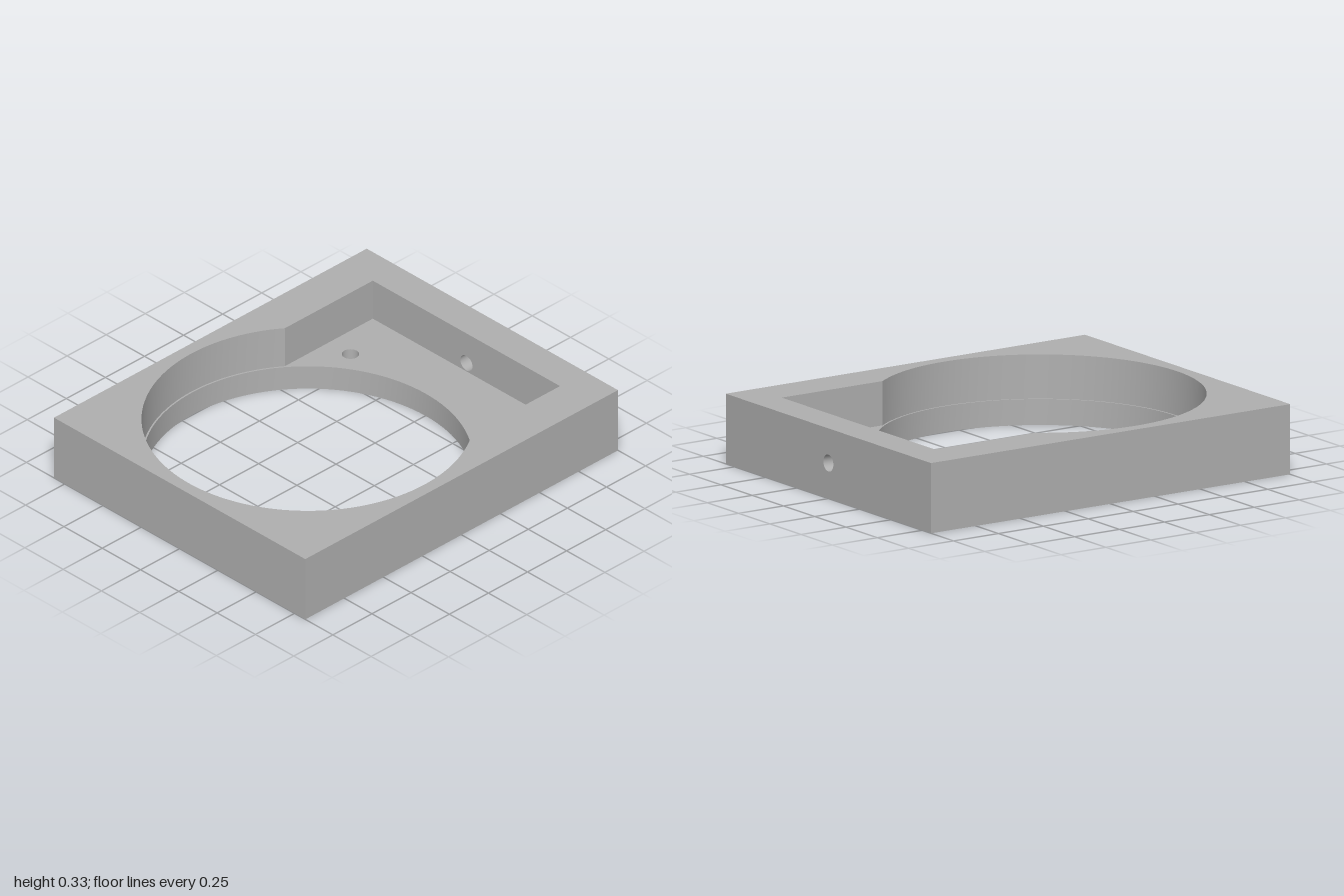
import * as THREE from 'three';
import { toCreasedNormals } from 'three/addons/utils/BufferGeometryUtils.js';

const W = 1, D = 0.82, H = 0.33;          // half width, half depth, height
const FLOOR = 0.122;                      // pocket floor height
const CX = -0.18, R_LOW = 0.752, R_UP = 0.76;
const PX = 0.834, PZ = 0.611;             // pocket end and half width
const HOLE_R = 0.04, HOLE_Y = 0.167;

const v = (x, y) => new THREE.Vector2(x, y);

// Counter-clockwise arc points; a full turn leaves out the repeated end point
function arc(cx, cy, r, n, a0 = 0, a1 = Math.PI * 2) {
  const full = a1 - a0 > 6.28;
  return Array.from({ length: full ? n : n + 1 }, (_, i) => {
    const a = a0 + (a1 - a0) * i / n;
    return v(cx + r * Math.cos(a), cy + r * Math.sin(a));
  });
}

const rect = (x0, y0, x1, y1) => [v(x0, y0), v(x1, y0), v(x1, y1), v(x0, y1)];

// Flat face with holes, facing +z
function plate(outline, holes = []) {
  const shape = new THREE.Shape(outline);
  holes.forEach(h => shape.holes.push(new THREE.Path(h)));
  return new THREE.ShapeGeometry(shape);
}

// Wall standing on a path from z0 to z1; it faces right of the path direction
function wall(path, z0, z1, closed) {
  const pos = [];
  const count = closed ? path.length : path.length - 1;
  for (let i = 0; i < count; i++) {
    const a = path[i], b = path[(i + 1) % path.length];
    pos.push(a.x, a.y, z0, b.x, b.y, z0, b.x, b.y, z1);
    pos.push(a.x, a.y, z0, b.x, b.y, z1, a.x, a.y, z1);
  }
  const g = new THREE.BufferGeometry();
  g.setAttribute('position', new THREE.Float32BufferAttribute(pos, 3));
  return toCreasedNormals(g, 0.5);
}

const reversed = path => [...path].reverse();

export function createModel() {
  const group = new THREE.Group();
  const grey = new THREE.MeshStandardMaterial({ color: 0xb0b0b0 });
  grey.name = 'grey';

  const add = (name, geometry) => {
    const mesh = new THREE.Mesh(geometry, grey);
    mesh.name = name;
    group.add(mesh);
  };
  const upright = g => g.rotateX(-Math.PI / 2);

  const bore = arc(CX, 0, R_LOW, 120);
  const bolts = [1, -1].map(s => arc(0.556, s * 0.473, HOLE_R, 24));
  const a0 = Math.asin(PZ / R_UP);
  const pocket = [v(PX, PZ), ...arc(CX, 0, R_UP, 96, a0, Math.PI * 2 - a0), v(PX, -PZ)];
  const outer = rect(-W, -D, W, D);

  // Horizontal faces
  add('topFace', upright(plate(outer, [pocket])).translate(0, H, 0));
  add('pocketFloor', upright(plate(pocket, [bore, ...bolts])).translate(0, FLOOR, 0));
  add('bottomFace', plate(outer, [bore, ...bolts]).rotateX(Math.PI / 2));

  // Upright faces of the block, the pocket and the through holes
  add('outerWalls', upright(wall([v(W, D), v(-W, D), v(-W, -D), v(W, -D)], 0, H, false)));
  add('pocketWalls', upright(wall(reversed(pocket), FLOOR, H, false)));
  add('boreWall', upright(wall(reversed(bore), 0, FLOOR, true)));
  bolts.forEach((b, i) => add('boltHole' + (i + 1), upright(wall(reversed(b), 0, FLOOR, true))));

  // End wall with its drilled side hole
  const sideHole = arc(0, HOLE_Y, HOLE_R, 24);
  add('endFace', plate(rect(-D, 0, D, H), [sideHole]).rotateY(Math.PI / 2).translate(W, 0, 0));
  add('pocketEndFace', plate(rect(-PZ, FLOOR, PZ, H), [sideHole]).rotateY(-Math.PI / 2).translate(PX, 0, 0));
  add('sideHole', wall(reversed(sideHole), PX, W, true).rotateY(Math.PI / 2));

  return group;
}
